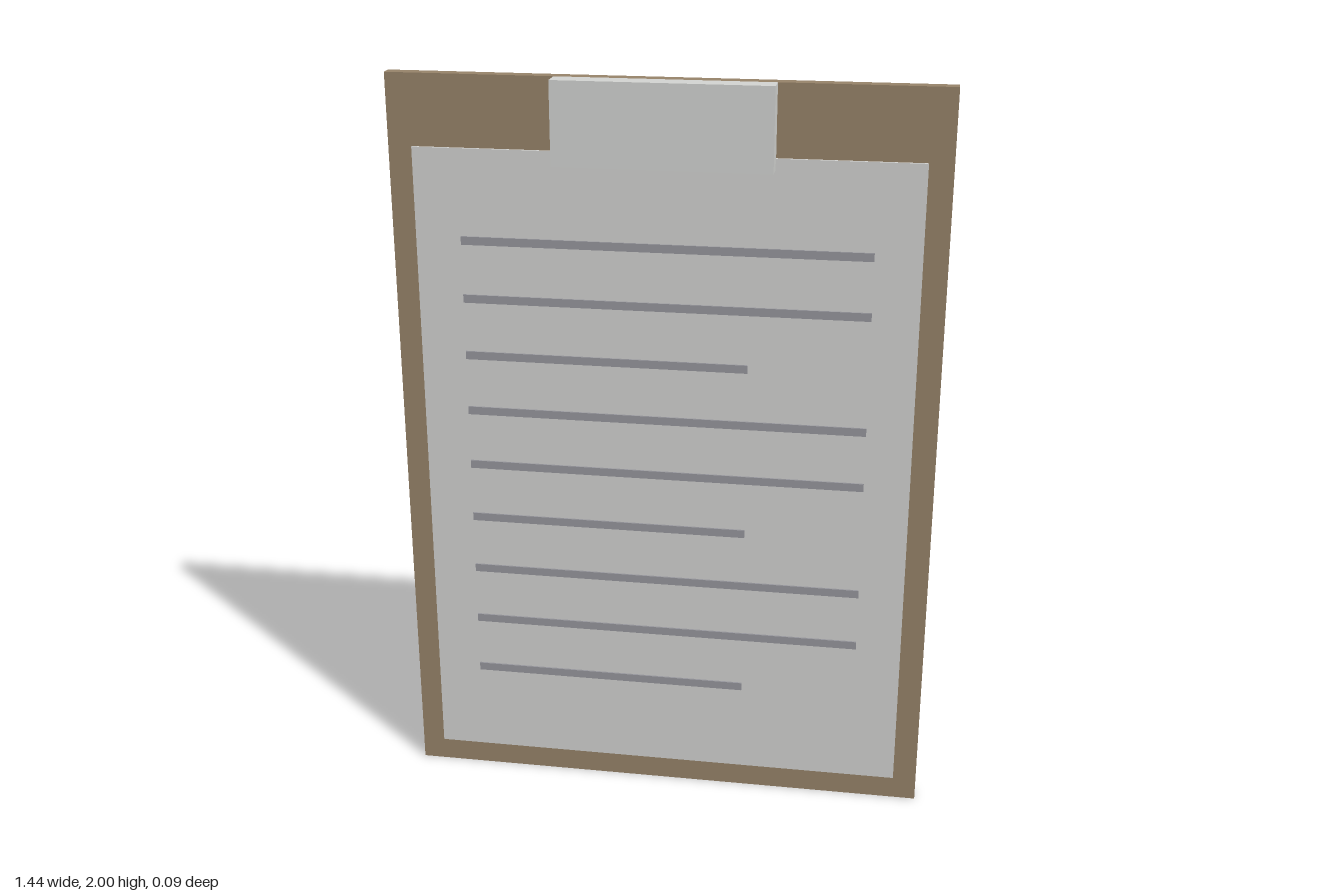
import * as THREE from 'three';

function material(name, color) {
  const m = new THREE.MeshStandardMaterial({ color });
  m.name = name;
  return m;
}

export function createModel() {
  const group = new THREE.Group();
  group.name = 'clipboard';

  const brown = material('board brown', 0x98846a);
  const white = material('paper white', 0xd4d4d2);
  const silver = material('clip silver', 0xd4d5d3);
  const grey = material('line grey', 0x98989e);

  // Box given by its low and high corners
  function box(name, mat, [x0, y0, z0], [x1, y1, z1]) {
    const mesh = new THREE.Mesh(new THREE.BoxGeometry(x1 - x0, y1 - y0, z1 - z0), mat);
    mesh.position.set((x0 + x1) / 2, (y0 + y1) / 2, (z0 + z1) / 2);
    mesh.name = name;
    group.add(mesh);
  }

  const boardFront = -0.01;
  const paperFront = -0.003;

  box('board', brown, [-0.718, 0, -0.047], [0.718, 2, boardFront]);
  box('paper', white, [-0.655, 0.066, boardFront], [0.655, 1.814, paperFront]);
  box('clip', silver, [-0.28, 1.785, boardFront], [0.28, 2, 0.047]);

  // Nine writing lines, every third one short
  for (let i = 0; i < 9; i++) {
    const y = 1.574 - i * 0.1564;
    const end = i % 3 === 2 ? 0.22 : 0.534;
    box('writingLine' + (i + 1), grey, [-0.534, y - 0.011, paperFront], [end, y + 0.011, 0.002]);
  }

  return group;
}
